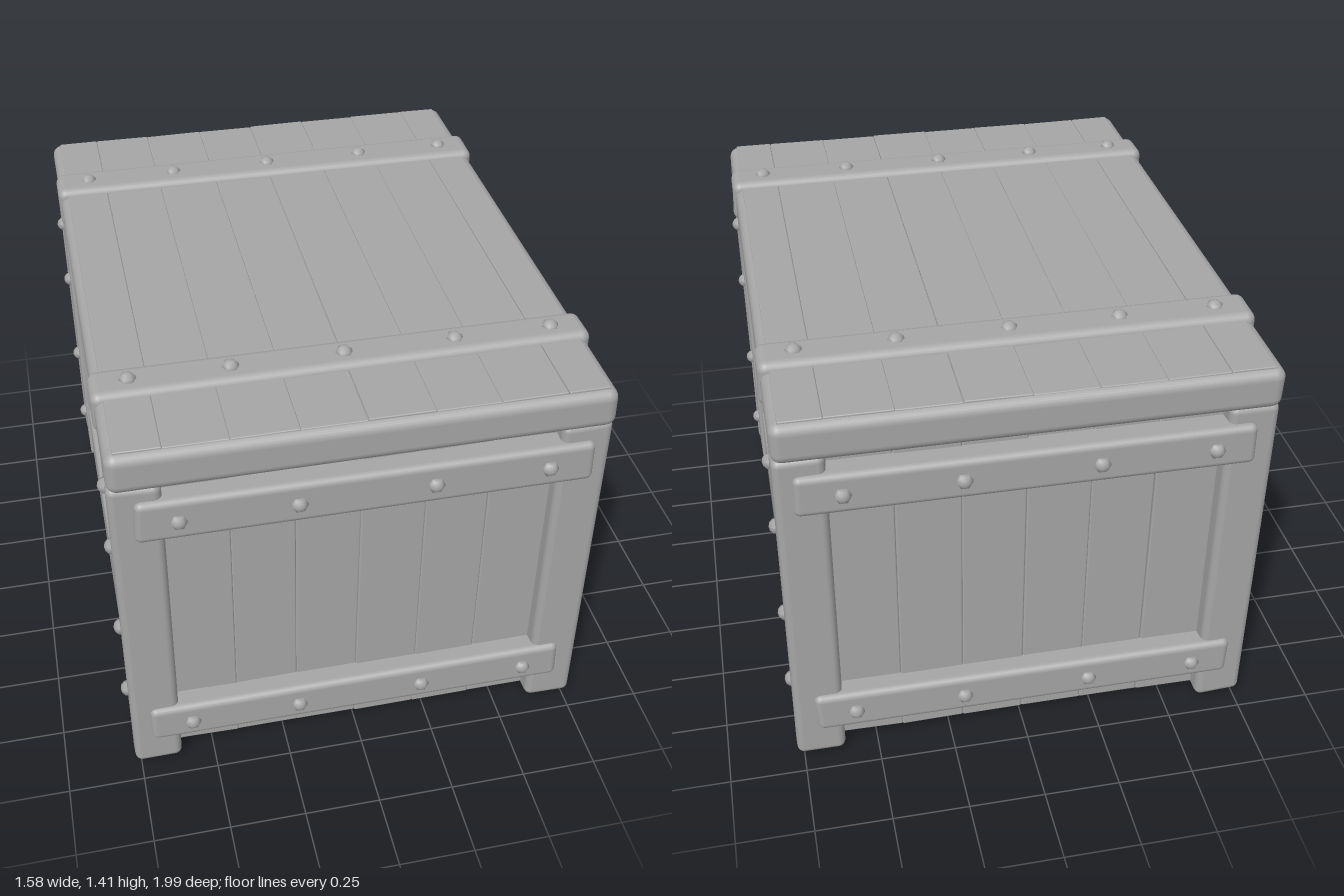
import * as THREE from 'three';
import { RoundedBoxGeometry } from 'three/addons/geometries/RoundedBoxGeometry.js';

export function createModel() {
  const crate = new THREE.Group();
  crate.name = 'woodenCrate';
  const wood = new THREE.MeshStandardMaterial({ color: 0xa6a6a6 });
  wood.name = 'grey wood';

  // Small seeded generator for hand-hewn irregularity
  let seed = 11;
  const rand = (a) => {
    seed = (seed * 16807) % 2147483647;
    return (seed / 2147483647 * 2 - 1) * a;
  };

  // A worn board spanning the given limits; each corner is nudged a little
  function board(name, x0, x1, y0, y1, z0, z1, radius = 0.015, wear = 0.003) {
    const geo = new RoundedBoxGeometry(x1 - x0, y1 - y0, z1 - z0, 3, radius);
    const nudges = Array.from({ length: 8 }, () => [rand(wear), rand(wear), rand(wear)]);
    const p = geo.attributes.position;
    for (let i = 0; i < p.count; i++) {
      const n = nudges[(p.getX(i) > 0 ? 1 : 0) + (p.getY(i) > 0 ? 2 : 0) + (p.getZ(i) > 0 ? 4 : 0)];
      p.setXYZ(i, p.getX(i) + n[0], p.getY(i) + n[1], p.getZ(i) + n[2]);
    }
    const mesh = new THREE.Mesh(geo, wood);
    mesh.name = name;
    mesh.position.set((x0 + x1) / 2, (y0 + y1) / 2, (z0 + z1) / 2);
    crate.add(mesh);
  }

  // The same board mirrored across x = 0, z = 0 or both
  const boardX = (name, x0, x1, ...r) => {
    board(name, x0, x1, ...r);
    board(name, -x1, -x0, ...r);
  };
  const boardZ = (name, x0, x1, y0, y1, z0, z1, ...r) => {
    board(name, x0, x1, y0, y1, z0, z1, ...r);
    board(name, x0, x1, y0, y1, -z1, -z0, ...r);
  };
  const boardXZ = (name, x0, x1, ...r) => {
    boardZ(name, x0, x1, ...r);
    boardZ(name, -x1, -x0, ...r);
  };

  // Rough domed nail head pointing along the given axis
  const nailGeo = new THREE.SphereGeometry(0.028, 6, 3, 0, Math.PI * 2, 0, Math.PI / 2);
  const up = new THREE.Vector3(0, 1, 0);
  function nail(x, y, z, nx, ny, nz) {
    const mesh = new THREE.Mesh(nailGeo, wood);
    mesh.name = 'nailHead';
    mesh.position.set(x, y, z);
    mesh.scale.y = 0.9;
    mesh.quaternion.setFromUnitVectors(up, new THREE.Vector3(nx, ny, nz));
    crate.add(mesh);
  }

  // Solid core behind the plank seams
  board('innerCore', -0.675, 0.675, 0.085, 1.3, -0.875, 0.875, 0.01, 0);

  // Front and back wall planks
  for (let i = 0; i < 6; i++) {
    const x = -0.615 + i * 0.205;
    boardZ('endWallPlank', x, x + 0.205, 0.05, 1.25, 0.8, 0.896 + rand(0.003), 0.006, 0.002);
  }

  // Side wall planks
  for (let i = 0; i < 6; i++) {
    const z = -0.72 + i * 0.24;
    boardX('sideWallPlank', 0.6, 0.702 + rand(0.003), 0.09, 1.25, z, z + 0.24, 0.006, 0.002);
  }

  // Corner posts: a side board and a full-width end board at each corner
  boardXZ('cornerPostSide', 0.64, 0.766, 0.03, 1.245, 0.71, 0.875, 0.012);
  boardXZ('cornerPostEnd', 0.61, 0.77, 0.032, 1.245, 0.865, 0.95, 0.024);

  // Front and back rails nailed over the posts
  boardZ('upperEndRail', -0.7, 0.715, 1.04, 1.19, 0.86, 0.97, 0.022, 0.004);
  boardZ('lowerEndRail', -0.705, 0.7, 0.15, 0.292, 0.86, 0.968, 0.022, 0.004);

  // Side rails
  boardX('upperSideRail', 0.63, 0.75, 1.045, 1.25, -0.715, 0.715, 0.02);
  boardX('lowerSideRail', 0.6, 0.754, 0.05, 0.29, -0.715, 0.715, 0.02);

  // Floor planks set between the rails, and the two floor battens
  for (let i = 0; i < 6; i++) {
    const x = -0.615 + i * 0.205;
    board('floorPlank', x, x + 0.205, 0.068 + rand(0.003), 0.14, -0.87, 0.87, 0.006, 0.002);
  }
  boardZ('floorBatten', -0.75, 0.75, 0.032, 0.1, 0.71, 0.88, 0.012);

  // Lid with worn round edges, faced with planks running front to back
  board('lidBody', -0.768, 0.768, 1.24, 1.376, -0.97, 0.97, 0.034, 0.002);
  const seams = [-0.74, -0.6, -0.405, -0.2, 0, 0.205, 0.405, 0.61, 0.74];
  for (let i = 0; i < 8; i++) {
    board('lidPlank', seams[i], seams[i + 1], 1.36, 1.38 + rand(0.002), -0.945, 0.945, 0.004, 0.001);
  }

  // Lid battens, rounded over the edges
  board('lidBattenFront', -0.778, 0.778, 1.25, 1.4, 0.56, 0.7, 0.03, 0.003);
  board('lidBattenBack', -0.778, 0.778, 1.25, 1.4, -0.68, -0.53, 0.03, 0.003);

  // Nails on lid battens and floor battens
  for (const x of [-0.66, -0.35, 0, 0.35, 0.66]) {
    nail(x, 1.397, 0.63, 0, 1, 0);
    nail(x, 1.397, -0.605, 0, 1, 0);
    nail(x, 0.034, 0.785, 0, -1, 0);
    nail(x, 0.034, -0.785, 0, -1, 0);
  }

  // Nails on posts and rails, mirrored to every side
  for (const s of [1, -1]) {
    for (const z of [-0.78, 0.78]) {
      for (const y of [0.22, 0.52, 0.88, 1.13]) nail(s * 0.764, y, z, s, 0, 0);
    }
    for (const x of [-0.57, -0.21, 0.21, 0.57]) {
      nail(x, 1.115, s * 0.968, 0, 0, s);
      nail(x, 0.22, s * 0.966, 0, 0, s);
    }
  }
  return crate;
}
